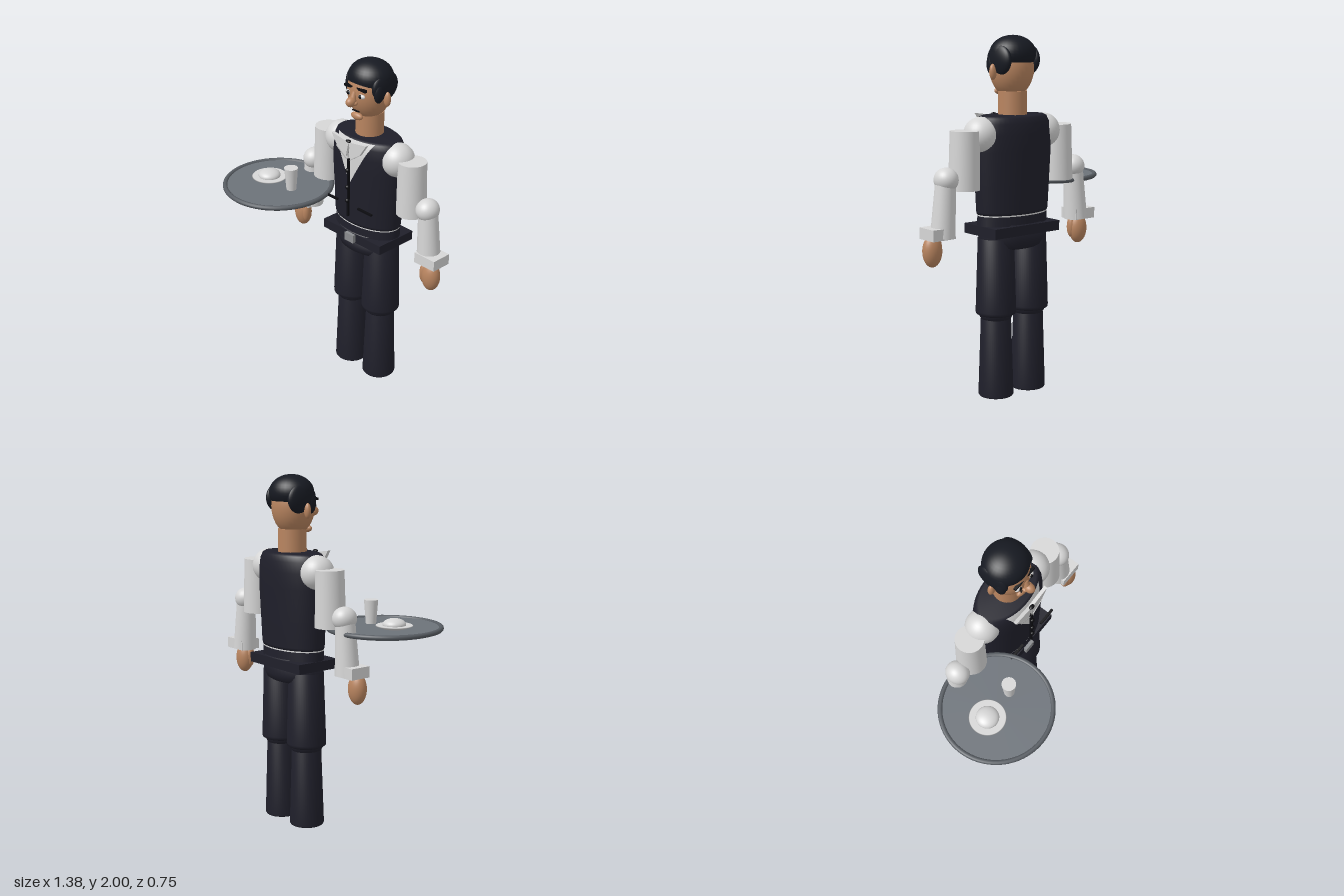
import * as THREE from 'three';

const mat = (name, color, side = THREE.FrontSide) => {
  const m = new THREE.MeshStandardMaterial({ color, side });
  m.name = name;
  return m;
};

export function createModel() {
  const navy = mat('navy cloth', 0x1f1f2a);
  const skin = mat('skin', 0xb8845f);
  const white = mat('white linen', 0xd6d6d6, THREE.DoubleSide);
  const crease = mat('linen crease', 0xb4b4b4);
  const hairM = mat('hair', 0x171a22);
  const black = mat('black', 0x0c0c10);
  const steel = mat('tray steel', 0x6c7279);
  const rimM = mat('tray rim', 0x575c62);
  const silver = mat('buckle silver', 0x8b8d90);

  const model = new THREE.Group();
  model.name = 'waiter';
  const body = new THREE.Group();
  body.name = 'figure';
  body.position.set(0.1, 0, -0.235);
  model.add(body);

  const add = (parent, name, geo, material, x = 0, y = 0, z = 0) => {
    const m = new THREE.Mesh(geo, material);
    m.name = name;
    m.position.set(x, y, z);
    parent.add(m);
    return m;
  };
  const box = (w, h, d) => new THREE.BoxGeometry(w, h, d);
  const ball = (rx, ry, rz) => new THREE.SphereGeometry(1, 32, 20).scale(rx, ry, rz);
  const cyl = (rt, rb, h) => new THREE.CylinderGeometry(rt, rb, h, 40);
  const lathe = (pts, zScale = 1) =>
    new THREE.LatheGeometry(pts.map(p => new THREE.Vector2(...p)), 48).scale(1, 1, zScale);

  // Torso, waist and hips: oval cross-sections
  const depth = 0.585;
  add(body, 'waistcoat', lathe([[0, 1.035], [0.228, 1.035], [0.232, 1.05], [0.24, 1.2], [0.25, 1.38],
    [0.248, 1.47], [0.238, 1.53], [0.22, 1.56], [0.2, 1.57], [0, 1.575]], depth), navy);
  add(body, 'shirtHem', cyl(0.226, 0.226, 0.014).scale(1, 1, depth), white, 0, 1.034);
  add(body, 'waistband', cyl(0.224, 0.228, 0.06).scale(1, 1, depth), navy, 0, 1.0);
  add(body, 'hips', lathe([[0, 0.838], [0.17, 0.838], [0.198, 0.85], [0.212, 0.88], [0.218, 0.98], [0, 0.98]], 0.62), navy);
  add(body, 'belt', box(0.46, 0.055, 0.27), navy, 0, 0.947);
  add(body, 'buckle', box(0.068, 0.05, 0.02), silver, 0, 0.947, 0.145);

  // Shirt front: a V wrapped over the curved chest
  const shirt = new THREE.PlaneGeometry(2, 1, 24, 16);
  const p = shirt.attributes.position;
  for (let i = 0; i < p.count; i++) {
    const t = p.getY(i) + 0.5;
    const y = 1.3 + 0.265 * t;
    const x = p.getX(i) * 0.14 * t;
    const r = y < 1.47 ? 0.25 : 0.25 - 0.4 * Math.pow((y - 1.47) / 0.1, 2) * 0.1;
    p.setXYZ(i, x, y, depth * Math.sqrt(r * r - x * x) + 0.006);
  }
  shirt.computeVertexNormals();
  add(body, 'shirtFront', shirt, white);

  // Collar wings standing ahead of the chest
  for (const s of [-1, 1]) {
    const wing = new THREE.Shape();
    wing.moveTo(0, 1.555);
    wing.lineTo(s * 0.135, 1.575);
    wing.lineTo(s * 0.085, 1.5);
    wing.lineTo(s * 0.02, 1.465);
    wing.closePath();
    add(body, 'collarWing', new THREE.ExtrudeGeometry(wing, { depth: 0.02, bevelEnabled: false }), white, 0, 0, 0.145);
    const fold = add(body, 'collarFold', box(0.004, 0.1, 0.004), crease, s * 0.055, 1.48, 0.166);
    fold.rotation.z = -s * 0.95;
    add(body, 'pocket', box(0.11, 0.01, 0.014), black, s * 0.136, 1.172, 0.166);
  }
  add(body, 'shirtPlacket', box(0.004, 0.09, 0.004), crease, 0, 1.51, 0.166);
  add(body, 'tieKnot', ball(0.018, 0.008, 0.012), black, 0, 1.563, 0.165);
  add(body, 'waistcoatSeam', box(0.01, 0.36, 0.014), black, 0, 1.275, 0.162);
  for (const y of [1.385, 1.28, 1.195]) add(body, 'button', ball(0.013, 0.013, 0.012), black, 0, y, 0.17);

  // Head
  add(body, 'neck', cyl(0.079, 0.081, 0.15), skin, 0, 1.625);
  add(body, 'head', ball(0.123, 0.163, 0.122), skin, 0, 1.825, 0.008);
  add(body, 'hairCap', ball(0.131, 0.1, 0.123), hairM, 0, 1.9, -0.002);
  add(body, 'noseBridge', new THREE.CylinderGeometry(0.012, 0.024, 0.07, 20), skin, 0, 1.81, 0.132).rotation.x = -0.25;
  add(body, 'noseTip', ball(0.026, 0.028, 0.032), skin, 0, 1.79, 0.15);
  add(body, 'chin', ball(0.042, 0.022, 0.02), skin, 0, 1.695, 0.102);
  add(body, 'mouth', box(0.05, 0.006, 0.008), black, 0, 1.728, 0.111);
  for (const s of [-1, 1]) {
    add(body, 'sideHair', ball(0.034, 0.085, 0.095), hairM, s * 0.1, 1.868, -0.008);
    add(body, 'sideburn', ball(0.025, 0.06, 0.035), hairM, s * 0.108, 1.845, 0.045);
    add(body, 'ear', ball(0.022, 0.043, 0.018), skin, s * 0.133, 1.805, 0.005);
    add(body, 'eye', ball(0.025, 0.013, 0.012), white, s * 0.048, 1.826, 0.117);
    add(body, 'pupil', ball(0.011, 0.012, 0.008), black, s * 0.046, 1.826, 0.125);
    add(body, 'brow', box(0.064, 0.014, 0.016), black, s * 0.048, 1.864, 0.116).rotation.z = -s * 0.05;
    add(body, 'nostril', ball(0.014, 0.012, 0.016), skin, s * 0.018, 1.783, 0.135);
  }

  // Arms and legs, mirrored
  for (const s of [-1, 1]) {
    const arm = new THREE.Group();
    arm.name = s > 0 ? 'leftArm' : 'rightArm';
    body.add(arm);
    add(arm, 'shoulder', ball(0.097, 0.097, 0.097), white, s * 0.22, 1.472);
    add(arm, 'upperArm', cyl(0.08, 0.086, 0.315), white, s * 0.333, 1.343).rotation.z = s * 0.02;
    add(arm, 'elbow', ball(0.065, 0.065, 0.07), white, s * 0.455, 1.25);
    add(arm, 'forearm', cyl(0.055, 0.068, 0.29), white, s * 0.47, 1.088).rotation.z = s * 0.07;
    add(arm, 'cuff', box(0.145, 0.062, 0.125), white, s * 0.508, 0.97, 0.008);
    add(arm, 'hand', ball(0.056, 0.088, 0.048), skin, s * 0.528, 0.872, 0.03);
    add(arm, 'thumb', ball(0.024, 0.062, 0.026), skin, s * 0.486, 0.882, 0.042);

    const leg = new THREE.Group();
    leg.name = s > 0 ? 'leftLeg' : 'rightLeg';
    body.add(leg);
    add(leg, 'thigh', lathe([[0, 0.468], [0.1, 0.468], [0.112, 0.476], [0.113, 0.49], [0.1, 0.9], [0, 0.9]]), navy, s * 0.118);
    add(leg, 'knee', ball(0.096, 0.075, 0.096), navy, s * 0.118, 0.48);
    add(leg, 'shin', lathe([[0, 0], [0.094, 0], [0.099, 0.008], [0.084, 0.46], [0, 0.46]]), navy, s * 0.118);
  }

  // Serving tray with dish and glass
  const tray = new THREE.Group();
  tray.name = 'servingTray';
  tray.position.set(-0.365, 1.17, 0.045);
  model.add(tray);
  add(tray, 'trayPlate', cyl(0.315, 0.305, 0.022), steel, 0, -0.004);
  add(tray, 'trayRim', new THREE.TorusGeometry(0.313, 0.014, 12, 72).rotateX(Math.PI / 2), rimM, 0, 0.002);
  add(tray, 'saucer', lathe([[0, 0.005], [0.06, 0.005], [0.104, 0.022], [0.1, 0.026], [0, 0.022]]), white, -0.08);
  add(tray, 'dishDome', ball(0.065, 0.035, 0.065), white, -0.08, 0.028);
  add(tray, 'glass', cyl(0.04, 0.029, 0.135), white, 0.113, 0.075);

  return model;
}
